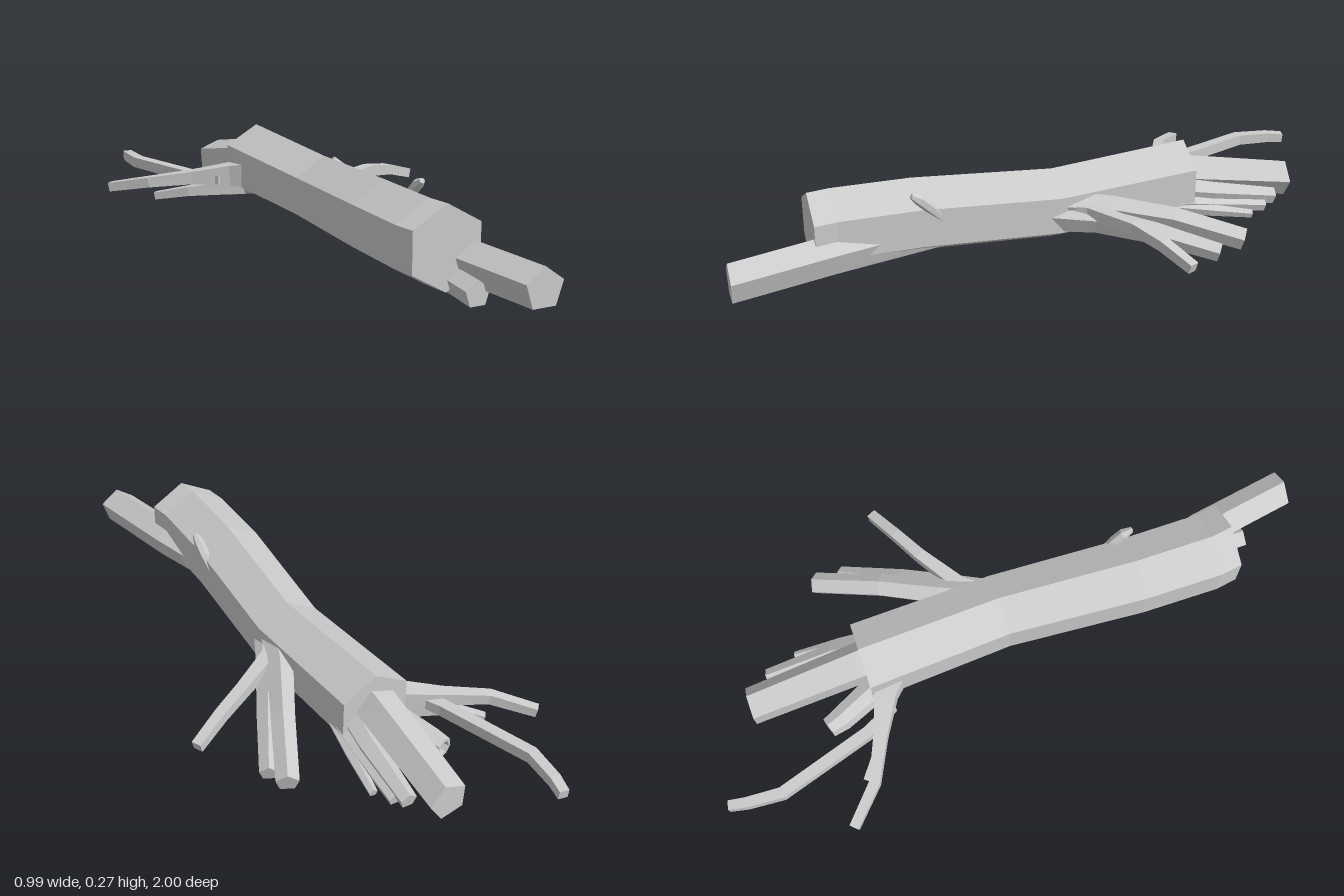
import * as THREE from 'three';

const material = new THREE.MeshStandardMaterial({ color: 0xcccccc, flatShading: true });

// Faceted limb swept through stations [x, y, z, radius].
// spin turns the cross-section, axis fixes the cut direction, hollow sinks the tip.
function limb(name, stations, sides, { spin = 90, axis = null, hollow = false } = {}) {
  const centres = stations.map(([x, y, z]) => new THREE.Vector3(x, y, z));
  const up = new THREE.Vector3(0, 1, 0);
  const last = stations.length - 1;
  const positions = [];
  const index = [];

  const addRing = (centre, radius, t) => {
    const side = new THREE.Vector3().crossVectors(up, t).normalize();
    const normal = new THREE.Vector3().crossVectors(t, side);
    for (let j = 0; j < sides; j++) {
      const a = THREE.MathUtils.degToRad(spin) + (j / sides) * Math.PI * 2;
      const p = centre.clone()
        .addScaledVector(side, Math.cos(a) * radius)
        .addScaledVector(normal, Math.sin(a) * radius);
      positions.push(p.x, p.y, p.z);
    }
  };

  let t;
  centres.forEach((c, i) => {
    t = axis ? new THREE.Vector3(...axis)
      : centres[Math.min(i + 1, last)].clone().sub(centres[Math.max(i - 1, 0)]).normalize();
    if (!axis && i === last) t = c.clone().sub(centres[i - 1]).normalize();
    addRing(c, stations[i][3], t);
  });
  if (hollow) {
    const r = stations[last][3];
    addRing(centres[last], r * 0.7, t);
    addRing(centres[last].clone().addScaledVector(t, -r), r * 0.6, t);
  }

  const rings = positions.length / 3 / sides;
  for (let i = 0; i < rings - 1; i++) {
    for (let j = 0; j < sides; j++) {
      const k = (j + 1) % sides;
      const a = i * sides + j, b = i * sides + k;
      index.push(a, b, b + sides, a, b + sides, a + sides);
    }
  }
  // End caps
  const end = (rings - 1) * sides;
  for (let j = 1; j < sides - 1; j++) {
    index.push(0, j + 1, j, end, end + j, end + j + 1);
  }

  const geometry = new THREE.BufferGeometry();
  geometry.setAttribute('position', new THREE.Float32BufferAttribute(positions, 3));
  geometry.setIndex(index);
  const flat = geometry.toNonIndexed();
  flat.computeVertexNormals();
  const mesh = new THREE.Mesh(flat, material);
  mesh.name = name;
  return mesh;
}

export function createModel() {
  const log = new THREE.Group();
  log.name = 'fallenLog';
  const front = [0, 0, 1];
  const back = [0, 0, -1];

  log.add(
    // Main six-sided trunk
    limb('trunk', [
      [-0.015, 0.143, -0.48, 0.125], [0.012, 0.127, -0.02, 0.118],
      [-0.018, 0.142, 0.42, 0.124], [-0.019, 0.143, 0.67, 0.125], [-0.008, 0.143, 0.74, 0.125],
    ], 6, { axis: front }),

    // Thick broken forks at both ends
    limb('frontFork', [
      [0, 0.09, 0.4, 0.05], [0.068, 0.095, 0.68, 0.063], [0.128, 0.083, 1, 0.062],
    ], 5, { axis: front }),
    limb('lowerFrontFork', [
      [0.02, 0.075, 0.35, 0.035], [0.035, 0.033, 0.83, 0.041],
    ], 5, { axis: front }),
    limb('backFork', [
      [-0.015, 0.16, -0.4, 0.072], [-0.018, 0.15, -0.5, 0.068], [-0.02, 0.083, -0.85, 0.062],
    ], 5, { axis: back, spin: 105 }),

    // Small knob on the upper flank
    limb('knob', [
      [0.083, 0.165, 0.35, 0.012], [0.088, 0.21, 0.39, 0.018],
      [0.09, 0.24, 0.42, 0.018], [0.09, 0.256, 0.445, 0.009],
    ], 6),

    // Branches on the left flank
    limb('leftOuterBranch', [
      [0.04, 0.12, 0, 0.045], [0.13, 0.135, -0.11, 0.032], [0.27, 0.135, -0.2, 0.026],
      [0.37, 0.118, -0.25, 0.024], [0.478, 0.083, -0.302, 0.022],
    ], 4, { spin: 45 }),
    limb('leftUpperBranch', [
      [0.06, 0.14, -0.03, 0.05], [0.13, 0.138, -0.18, 0.042],
      [0.22, 0.118, -0.35, 0.038], [0.318, 0.062, -0.545, 0.036],
    ], 5),
    limb('leftLowerBranch', [
      [0.05, 0.11, 0.03, 0.05], [0.14, 0.11, -0.13, 0.042],
      [0.23, 0.085, -0.28, 0.036], [0.33, 0.035, -0.46, 0.03],
    ], 5),

    // Short twigs beside the back fork
    limb('backTwigLong', [
      [0.03, 0.13, -0.38, 0.045], [0.055, 0.1, -0.56, 0.036], [0.062, 0.06, -0.775, 0.027],
    ], 5),
    limb('backTwigMiddle', [
      [0.06, 0.1, -0.36, 0.035], [0.075, 0.07, -0.55, 0.025], [0.08, 0.04, -0.735, 0.02],
    ], 5),
    limb('backTwigShort', [
      [0.06, 0.09, -0.35, 0.03], [0.095, 0.06, -0.53, 0.02], [0.113, 0.032, -0.675, 0.014],
    ], 5),

    // Hollow stub on the right
    limb('hollowStub', [
      [-0.05, 0.1, -0.36, 0.045], [-0.1, 0.068, -0.5, 0.044],
      [-0.14, 0.053, -0.595, 0.04], [-0.155, 0.052, -0.64, 0.033],
    ], 7, { hollow: true }),

    // Forked branch on the right
    limb('rightBranch', [
      [-0.04, 0.12, -0.37, 0.065], [-0.13, 0.115, -0.44, 0.048], [-0.25, 0.105, -0.495, 0.03],
      [-0.38, 0.09, -0.555, 0.024], [-0.485, 0.063, -0.655, 0.021],
    ], 4, { spin: 45 }),
    limb('rightLongTwig', [
      [-0.17, 0.1, -0.43, 0.02], [-0.225, 0.095, -0.53, 0.026],
      [-0.322, 0.098, -0.83, 0.025], [-0.315, 0.095, -0.94, 0.023], [-0.304, 0.09, -0.995, 0.021],
    ], 4, { spin: 45 }),
    limb('rightLowTwig', [
      [-0.09, 0.075, -0.42, 0.035], [-0.26, 0.057, -0.5, 0.022], [-0.352, 0.034, -0.575, 0.017],
    ], 4, { spin: 45 }),
  );
  return log;
}
